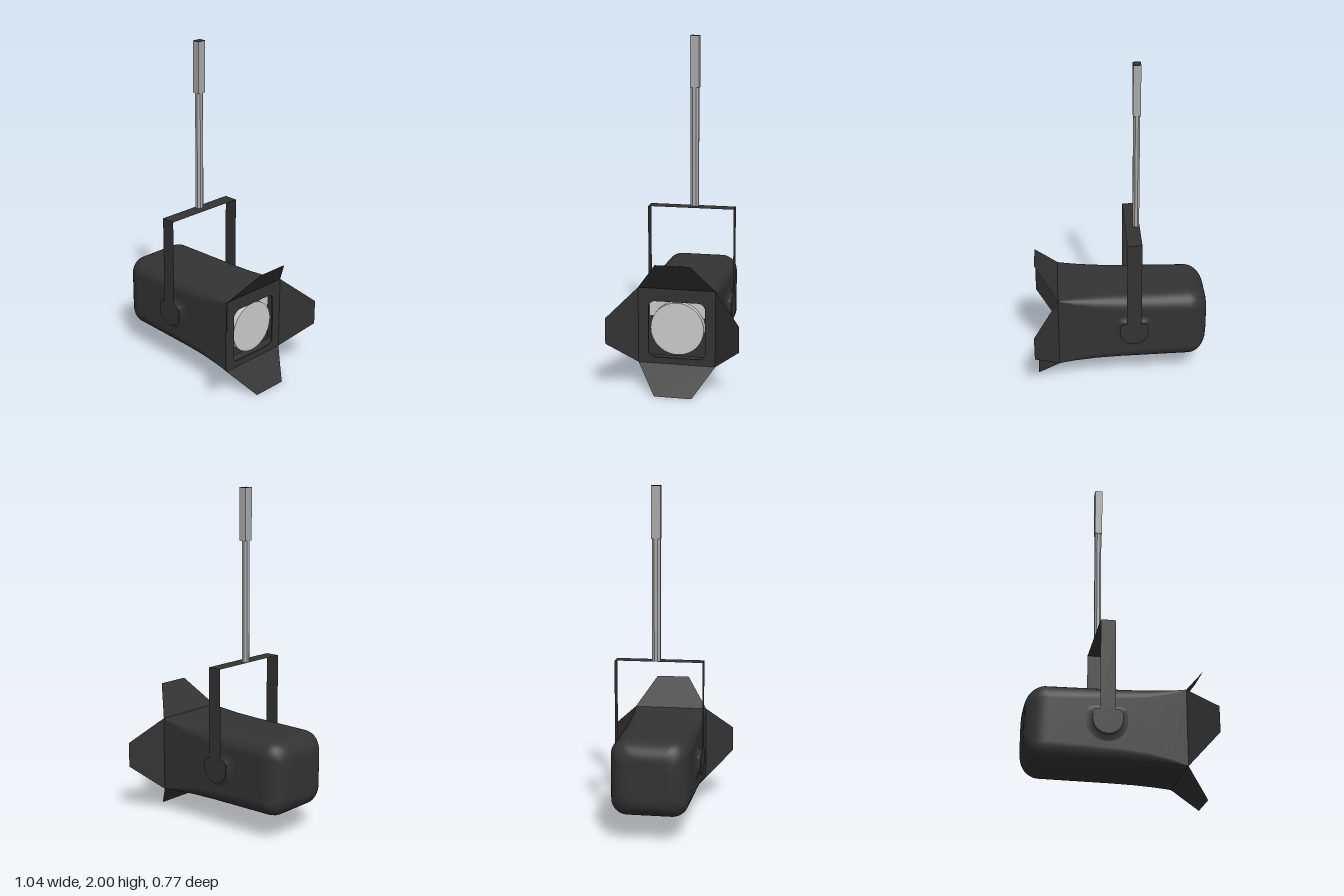
import * as THREE from 'three';

const dark = new THREE.MeshStandardMaterial({ color: 0x333333, side: THREE.DoubleSide });
dark.name = 'darkHousing';
const steel = new THREE.MeshStandardMaterial({ color: 0xaaaaaa });
steel.name = 'steelPole';
const glass = new THREE.MeshStandardMaterial({ color: 0xcccccc });
glass.name = 'paleLens';

const CY = 0.375, HALF = 0.225, FRONT = 0.375, STRAP_X = -0.077;

function add(parent, name, geometry, material, x = 0, y = 0, z = 0) {
  const mesh = new THREE.Mesh(geometry, material);
  mesh.name = name;
  mesh.position.set(x, y, z);
  parent.add(mesh);
  return mesh;
}

// Skin closed rings of [x, y, z] points; optionally close the first or last ring.
function loft(rings, capStart, capEnd) {
  const n = rings[0].length, pos = rings.flat(2), index = [];
  for (let i = 0; i < rings.length - 1; i++) {
    for (let j = 0; j < n; j++) {
      const k = (j + 1) % n;
      const a = i * n + j, b = i * n + k, c = a + n, d = b + n;
      index.push(a, b, c, b, d, c);
    }
  }
  const cap = (ring, flip) => {
    const base = pos.length / 3;
    const mid = [0, 1, 2].map(q => ring.reduce((s, p) => s + p[q], 0) / n);
    pos.push(...ring.flat(), ...mid);
    for (let j = 0; j < n; j++) {
      const k = (j + 1) % n;
      index.push(base + n, base + (flip ? k : j), base + (flip ? j : k));
    }
  };
  if (capStart) cap(rings[0], true);
  if (capEnd) cap(rings[rings.length - 1], false);
  const g = new THREE.BufferGeometry();
  g.setAttribute('position', new THREE.Float32BufferAttribute(pos, 3));
  g.setIndex(index);
  g.computeVertexNormals();
  return g;
}

// Rounded square in the y-z plane at a given x.
function squareRing(x, half, r) {
  const ring = [], steps = 8, c = half - r;
  [[1, 1], [-1, 1], [-1, -1], [1, -1]].forEach(([sy, sz], q) => {
    for (let s = 0; s <= steps; s++) {
      const a = (q + s / steps) * Math.PI / 2;
      ring.push([x, CY + sy * c + r * Math.cos(a), sz * c + r * Math.sin(a)]);
    }
  });
  return ring;
}

function roundedRect(path, x0, y0, x1, y1, r) {
  path.moveTo(x0 + r, y0);
  path.lineTo(x1 - r, y0);
  path.absarc(x1 - r, y0 + r, r, -Math.PI / 2, 0);
  path.lineTo(x1, y1 - r);
  path.absarc(x1 - r, y1 - r, r, 0, Math.PI / 2);
  path.lineTo(x0 + r, y1);
  path.absarc(x0 + r, y1 - r, r, Math.PI / 2, Math.PI);
  path.lineTo(x0, y0 + r);
  path.absarc(x0 + r, y0 + r, r, Math.PI, Math.PI * 1.5);
  return path;
}

// Flat four-cornered sheet.
function quad(a, b, c, d) {
  const g = new THREE.BufferGeometry();
  g.setAttribute('position', new THREE.Float32BufferAttribute([a, b, c, a, c, d].flat(), 3));
  g.computeVertexNormals();
  return g;
}

// Pivot boss: round below, straight on top, waisted between housing and lip.
function bossRing(z, r, top) {
  const ring = [], n = 40;
  for (let i = 0; i < n; i++) {
    const a = i / n * Math.PI * 2, c = Math.cos(a), s = Math.sin(a);
    ring.push(s > 0
      ? [r * Math.sign(c) * Math.abs(c) ** 0.35, top * s ** 0.35, z]
      : [r * c, r * s, z]);
  }
  return ring;
}

export function createModel() {
  const model = new THREE.Group();
  model.name = 'spotlight';

  // Housing: soft closed back, sharpening towards the square front
  const rings = [];
  for (let i = 0; i <= 10; i++) {
    const t = (1 - i / 10) * Math.PI / 2;
    rings.push(squareRing(-0.4 - 0.125 * Math.sin(t), HALF - 0.11 * (1 - Math.cos(t)), 0.1 - 0.03 * Math.sin(t)));
  }
  [[-0.2, 0.09], [0, 0.08], [0.15, 0.065], [0.28, 0.035], [FRONT, 0.003]]
    .forEach(([x, r]) => rings.push(squareRing(x, HALF, r)));
  add(model, 'housing', loft(rings, true, false), dark);

  // Front frame with a rounded opening
  const frame = new THREE.Shape();
  frame.moveTo(-HALF, CY - HALF);
  frame.lineTo(HALF, CY - HALF);
  frame.lineTo(HALF, CY + HALF);
  frame.lineTo(-HALF, CY + HALF);
  frame.holes.push(roundedRect(new THREE.Path(), -0.165, 0.187, 0.165, 0.523, 0.04));
  const frameGeo = new THREE.ExtrudeGeometry(frame, { depth: 0.01, bevelEnabled: false });
  add(model, 'frontFrame', frameGeo.rotateY(Math.PI / 2), dark, FRONT - 0.01);

  // Lens with a pale reflector above and a dark recess behind
  const lens = new THREE.CylinderGeometry(0.155, 0.155, 0.05, 48).rotateZ(-Math.PI / 2);
  add(model, 'lens', lens, glass, 0.338, 0.36, 0);
  add(model, 'reflector', new THREE.BoxGeometry(0.02, 0.11, 0.34), glass, 0.32, 0.475, 0);
  add(model, 'recessBack', new THREE.BoxGeometry(0.01, 0.4, 0.4), dark, 0.3, CY, 0);

  // Four splayed shutter flaps
  const f = FRONT, tip = 0.52, lo = CY - HALF, hi = CY + HALF;
  add(model, 'topFlap', quad([f, hi, HALF], [tip - 0.01, 0.775, 0.095], [tip - 0.01, 0.775, -0.105], [f, hi, -HALF]), dark);
  add(model, 'bottomFlap', quad([f, lo, -HALF], [tip - 0.01, 0, -0.112], [tip - 0.01, 0, 0.105], [f, lo, HALF]), dark);
  for (const s of [1, -1]) {
    add(model, s > 0 ? 'frontSideFlap' : 'backSideFlap',
      quad([f, lo, s * HALF], [tip, 0.3, s * 0.383], [tip, 0.45, s * 0.383], [f, hi, s * HALF]), dark);
  }

  // Hanging strap: two sheet legs and a crossbar
  const x0 = -0.12, x1 = -0.033, top = 0.985, side = 0.26;
  const strap = new THREE.Group();
  strap.name = 'strap';
  model.add(strap);
  add(strap, 'crossbar', quad([x0, top, side], [x1, top, side], [x1, top, -side], [x0, top, -side]), dark);
  add(strap, 'frontLeg', quad([x0, 0.44, side], [x1, 0.44, side], [x1, top, side], [x0, top, side]), dark);
  add(strap, 'backLeg', quad([x1, 0.44, -side], [x0, 0.44, -side], [x0, top, -side], [x1, top, -side]), dark);

  // Pivot bosses on both sides
  const profile = [[0.221, 0.15, 0.11], [0.226, 0.11, 0.08], [0.234, 0.084, 0.062],
    [0.245, 0.074, 0.056], [0.254, 0.078, 0.058], [0.2595, 0.085, 0.06]];
  const boss = loft(profile.map(p => bossRing(...p)), false, true);
  add(model, 'frontBoss', boss, dark, STRAP_X, 0.385, 0);
  add(model, 'backBoss', boss, dark, STRAP_X, 0.385, 0).rotation.y = Math.PI;

  // Pole: faceted rod, square sleeve and dark sleeve mouth
  const rod = new THREE.CylinderGeometry(0.021, 0.021, 0.72, 8).rotateY(Math.PI / 8).toNonIndexed();
  rod.scale(1, 1, 1.25);
  rod.computeVertexNormals();
  add(model, 'poleRod', rod, steel, -0.098, 1.346, -0.014);
  add(model, 'poleSleeve', new THREE.BoxGeometry(0.044, 0.3, 0.054), steel, -0.098, 1.847, -0.015);
  add(model, 'sleeveMouth', new THREE.BoxGeometry(0.044, 0.003, 0.054), dark, -0.098, 1.9985, -0.015);

  return model;
}
